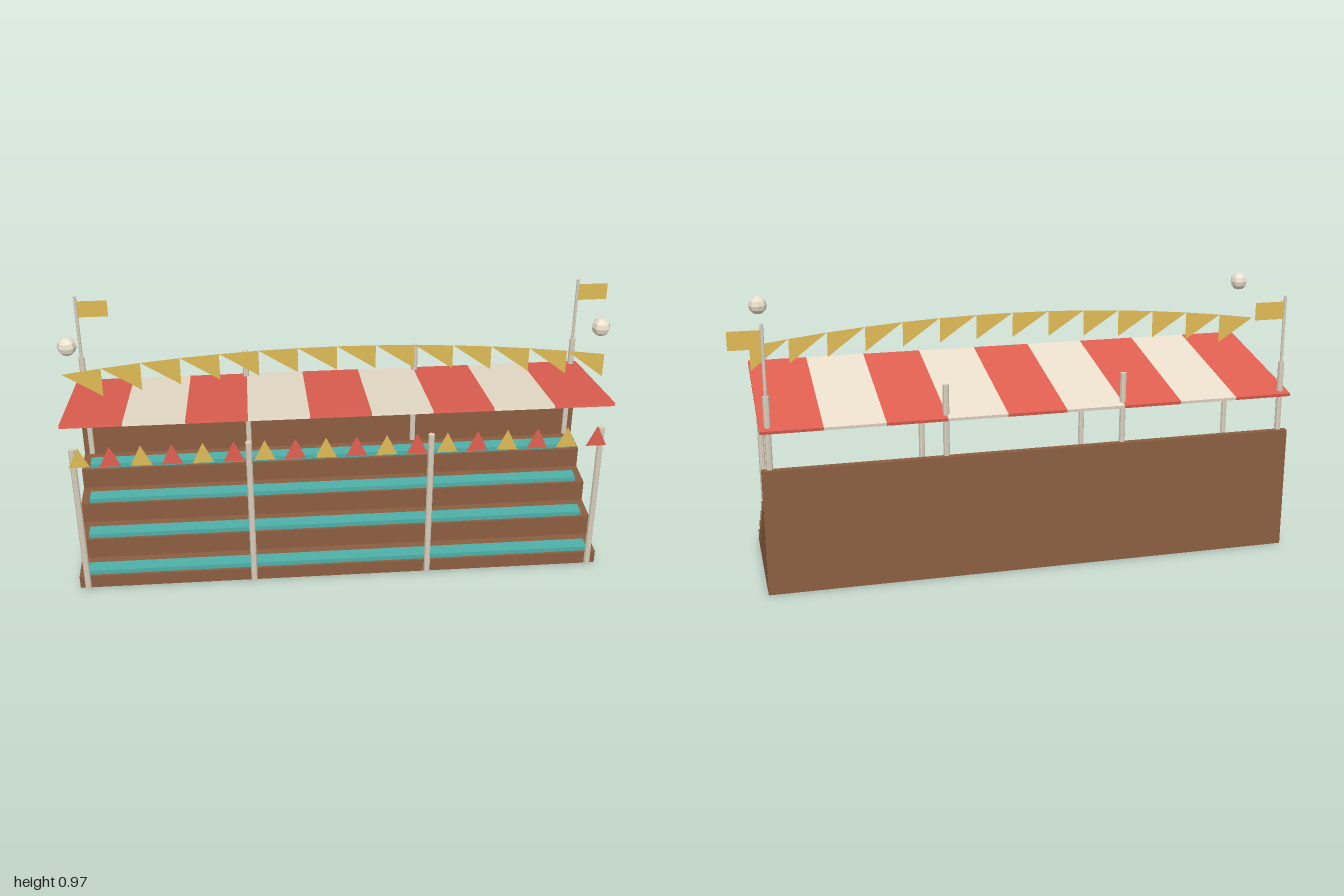
import * as THREE from 'three';

const X0 = -1, X1 = 0.915, LEN = X1 - X0, XC = (X0 + X1) / 2;

const mat = (color, opts = {}) => new THREE.MeshStandardMaterial({ color, flatShading: true, ...opts });
const wood = mat(0x8b5e40), teal = mat(0x4fb0a8), red = mat(0xe06050), cream = mat(0xeadfcb);
const metal = mat(0xd8cfbc);
const goldCloth = mat(0xdfba55, { side: THREE.DoubleSide });
const redCloth = mat(0xe06050, { side: THREE.DoubleSide });

export function createModel() {
  const root = new THREE.Group();

  const add = (name, geometry, material, x, y, z, parent = root) => {
    const mesh = new THREE.Mesh(geometry, material);
    mesh.name = name;
    mesh.position.set(x, y, z);
    parent.add(mesh);
    return mesh;
  };
  const box = (name, w, h, d, material, x, y, z, parent) =>
    add(name, new THREE.BoxGeometry(w, h, d), material, x, y, z, parent);
  const pole = (name, r, y0, y1, x, z) =>
    add(name, new THREE.CylinderGeometry(r, r, y1 - y0, 8), metal, x, (y0 + y1) / 2, z);
  const cloth = (name, points, material, x, y, z) =>
    add(name, new THREE.ShapeGeometry(new THREE.Shape(points.map(p => new THREE.Vector2(...p)))), material, x, y, z);

  // Stepped stand: one side profile swept along the length
  const tiers = 4, depth = 0.1175, front = 0.24;
  const profile = new THREE.Shape();
  profile.moveTo(-front, 0);
  for (let i = 0; i < tiers; i++) {
    const h = 0.05 + i * 0.08;
    profile.lineTo(-front + i * depth, h);
    profile.lineTo(-front + (i + 1) * depth, h);
  }
  profile.lineTo(-front + tiers * depth, 0);
  profile.closePath();
  const steps = new THREE.ExtrudeGeometry(profile, { depth: LEN, bevelEnabled: false });
  steps.rotateY(Math.PI / 2);
  add('steps', steps, wood, X0, 0, 0);

  // Bench boards on each tier
  for (let i = 0; i < tiers; i++) {
    box('bench', 1.85, 0.017, 0.053, teal, XC, 0.0585 + i * 0.08, 0.204 - i * depth);
  }

  box('backWall', LEN, 0.45, 0.026, wood, XC, 0.225, -0.251);

  // Roof posts
  for (const dx of [-0.929, -0.321, 0.321, 0.929]) {
    pole('frontPost', 0.0115, 0, 0.59, XC + dx, 0.24);
    pole('backPost', 0.0115, 0, 0.705, XC + dx, -0.241);
  }

  // Sloping striped roof
  const roof = new THREE.Group();
  roof.name = 'roof';
  roof.position.set(XC, 0.642, 0);
  roof.rotation.x = -0.2;
  root.add(roof);
  const stripes = 9, sw = LEN / stripes;
  for (let i = 0; i < stripes; i++) {
    box('roofStripe', sw, 0.011, 0.553, i % 2 ? cream : red, (i + 0.5) * sw - LEN / 2, 0, 0, roof);
  }

  // Corner flags and lamps
  for (const s of [-1, 1]) {
    const x = XC + s * 0.929;
    pole('flagPole', 0.006, 0.7, 0.95, x, -0.241);
    cloth('flag', [[0, 0], [0.114, 0], [0.114, 0.064], [0, 0.064]], goldCloth, x, 0.866, -0.241);
    add('lamp', new THREE.SphereGeometry(0.033, 8, 6), cream, XC + s * 0.918, 0.935, 0.138);
  }

  // Arched pennant line above the roof
  const pennants = 14, pw = LEN / pennants;
  const arch = t => 0.8 + 0.28 * t * (1 - t);
  for (let i = 0; i < pennants; i++) {
    const a = arch(i / pennants), b = arch((i + 1) / pennants);
    cloth('archPennant', [[0, a], [pw, Math.min(a, b) - 0.09], [pw, b]], goldCloth, X0 + i * pw, 0, 0.084);
  }

  // Row of small triangles under the front roof edge
  const small = 18, gap = LEN / small;
  for (let i = 0; i < small; i++) {
    cloth('edgePennant', [[-0.037, 0], [0.037, 0], [0, 0.08]], i % 2 ? redCloth : goldCloth,
      X0 + (i + 0.5) * gap, 0.535, 0.273);
  }

  return root;
}
